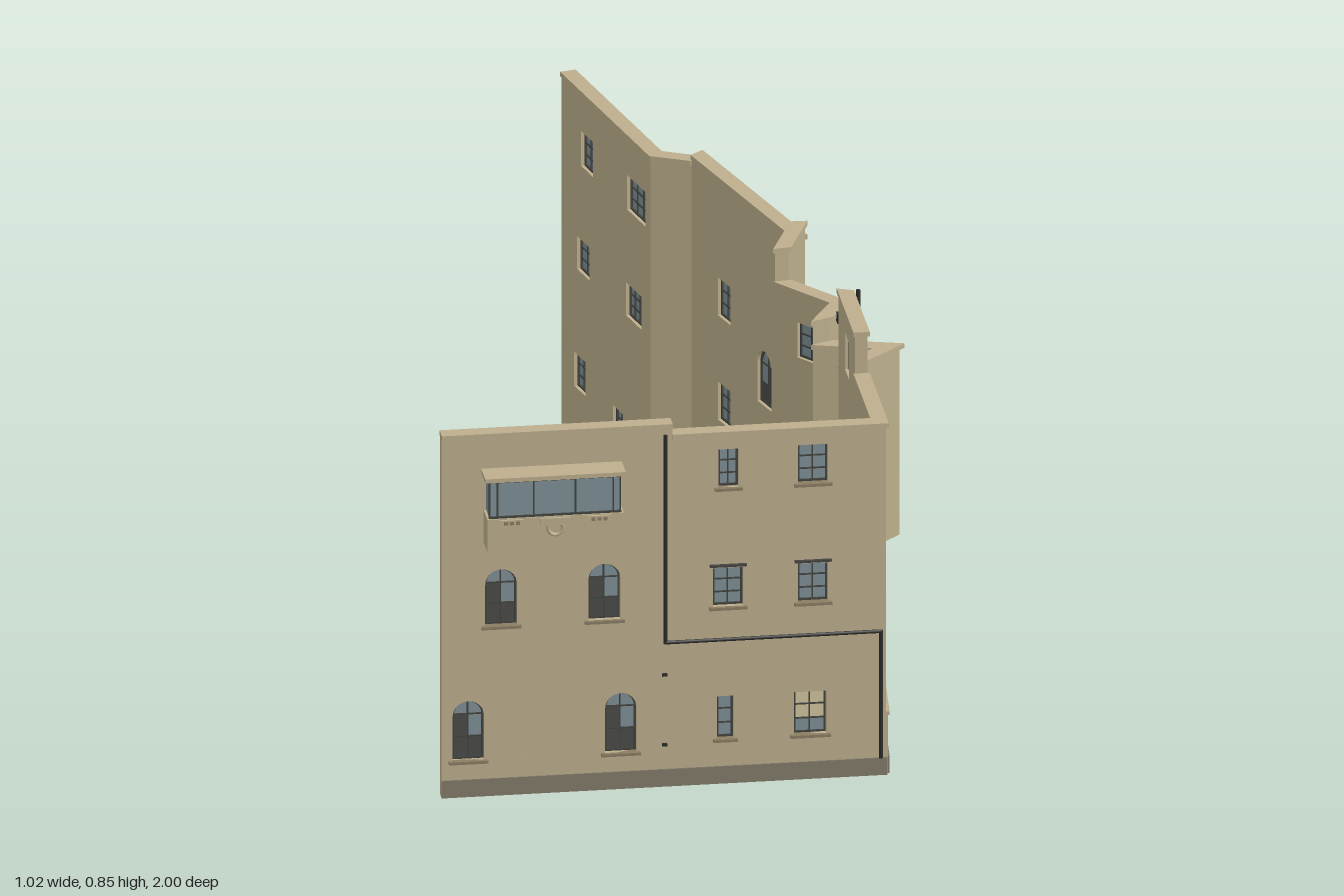
import * as THREE from 'three';

const mat = (name, color, side = THREE.FrontSide) => {
  const m = new THREE.MeshStandardMaterial({ color, side });
  m.name = name;
  return m;
};

export function createModel() {
  const wallMat = mat('stone', 0xbcae8c), plinthMat = mat('plinth', 0x807a68), sillMat = mat('sill', 0x8a7d62);
  const glassMat = mat('glass', 0x7e9096, THREE.DoubleSide), frameMat = mat('frame', 0x42433f);
  const darkMat = mat('darkPane', 0x4a4b47), doorMat = mat('door', 0x4a4740), ironMat = mat('iron', 0x2b2b2a);
  const creamMat = mat('blind', 0xcfc29c, THREE.DoubleSide);
  const T = 0.025;
  const model = new THREE.Group();
  model.name = 'terraceFacade';

  const add = (parent, name, geo, material) => {
    const m = new THREE.Mesh(geo, material);
    m.name = name;
    parent.add(m);
    return m;
  };
  // Box given by its two extreme corners
  const box = (parent, name, material, x0, x1, y0, y1, z0, z1) =>
    add(parent, name, new THREE.BoxGeometry(x1 - x0, y1 - y0, z1 - z0), material)
      .position.set((x0 + x1) / 2, (y0 + y1) / 2, (z0 + z1) / 2);
  // Round pipe between two points
  const pipe = (name, a, b, r = 0.0045) => {
    const p = new THREE.Vector3(...a), d = new THREE.Vector3(...b).sub(p);
    const m = add(model, name, new THREE.CylinderGeometry(r, r, d.length() + r, 8), ironMat);
    m.position.copy(p).addScaledVector(d, 0.5);
    m.quaternion.setFromUnitVectors(new THREE.Vector3(0, 1, 0), d.normalize());
  };
  const outline = (C, x0, x1, y0, y1, arched) => {
    const s = new C(), r = (x1 - x0) / 2;
    s.moveTo(x0, y0);
    s.lineTo(x1, y0);
    if (arched) {
      s.lineTo(x1, y1 - r);
      s.absarc((x0 + x1) / 2, y1 - r, r, 0, Math.PI, false);
    } else {
      s.lineTo(x1, y1);
      s.lineTo(x0, y1);
    }
    s.lineTo(x0, y0);
    return s;
  };
  // Extruded strip whose ends are mitred by the tangents t0 and t1
  const mitred = (shape, L, z0, z1, t0, t1) => {
    const g = new THREE.ExtrudeGeometry(shape, { depth: z1 - z0, bevelEnabled: false, curveSegments: 12 });
    g.translate(0, 0, z0);
    const p = g.attributes.position;
    for (let i = 0; i < p.count; i++) {
      const x = p.getX(i), z = p.getZ(i);
      if (x < 1e-5) p.setX(i, x - z * t0);
      else if (x > L - 1e-5) p.setX(i, x + z * t1);
    }
    g.computeVertexNormals();
    return g;
  };

  // Window: glass, frame, glazing bars and sill
  const addWindow = (parent, x0, x1, y0, y1, kind) => {
    const g = new THREE.Group(), arched = kind === 'arch', f = 0.004, zg = -0.014;
    g.name = arched ? 'archedWindow' : kind === 'grille' ? 'grilleWindow' : 'window';
    parent.add(g);
    add(g, 'glass', new THREE.ShapeGeometry(outline(THREE.Shape, x0, x1, y0, y1, arched)),
      kind === 'blind' ? creamMat : glassMat).position.z = zg;
    const rim = outline(THREE.Shape, x0, x1, y0, y1, arched);
    rim.holes.push(outline(THREE.Path, x0 + f, x1 - f, y0 + f, y1 - f, arched));
    add(g, 'frame', new THREE.ExtrudeGeometry(rim, { depth: 0.008, bevelEnabled: false }), frameMat).position.z = zg - 0.004;
    const xm = (x0 + x1) / 2, w = 0.0014, top = arched ? y1 - (x1 - x0) / 2 : y1;
    const cols = kind === 'grille' ? 5 : kind === 'wide' ? 3 : x1 - x0 < 0.036 ? 1 : 2;
    const rows = arched ? 2 : kind === 'grille' ? 4 : 3;
    for (let i = 1; i < cols; i++) {
      const x = x0 + (x1 - x0) * i / cols;
      box(g, 'glazingBar', frameMat, x - w, x + w, y0, y1, zg - 0.003, zg + 0.003);
    }
    for (let i = 1; i < rows + (arched ? 1 : 0); i++) {
      const y = y0 + (top - y0) * i / rows;
      box(g, 'glazingBar', frameMat, x0, x1, y - w, y + w, zg - 0.003, zg + 0.003);
    }
    if (arched) {
      const ym = (y0 + top) / 2;
      box(g, 'darkPane', darkMat, x0, x1, y0, ym, zg - 0.002, zg + 0.002);
      box(g, 'darkPane', darkMat, x0, xm, ym, top, zg - 0.002, zg + 0.002);
    }
    if (kind === 'blind') box(g, 'lowerPane', glassMat, x0, x1, y0, y0 + (y1 - y0) * 0.33, zg - 0.002, zg + 0.002);
    if (kind === 'lintel') box(g, 'lintel', frameMat, x0 - 0.007, x1 + 0.007, y1 + 0.004, y1 + 0.008, 0, 0.008);
    box(g, 'sill', sillMat, x0 - 0.008, x1 + 0.008, y0 - 0.006, y0, -0.01, 0.008);
  };

  // Outer plan line (x, z); each wall runs from its point to the next
  const points = [[-0.51, 0.94], [-0.045, 0.94], [0.385, 0.94], [0.385, 0.675], [0.385, 0.45], [0.497, 0.345],
    [0.362, 0.308], [0.405, 0.228], [0.308, 0.1], [0.36, -0.035], [0.217, -0.505], [0.14, -0.542], [0.03, -0.996]];
  const count = points.length - 1;
  const heading = points.slice(1).map(([x, z], i) => Math.atan2(points[i][1] - z, x - points[i][0]));
  const tangent = i => (i <= 0 || i >= count ? 0 : Math.tan((heading[i] - heading[i - 1]) / 2));

  // Equal openings, one at each centre (along the wall's main axis) on each sill height
  const grid = (centres, width, sills, height, kind) =>
    centres.flatMap(c => sills.map(s => ({ c, width, s, height, kind })));

  let index = 0;
  const wall = (name, y0, y1, ...openings) => {
    const i = index++, p = points[i], q = points[i + 1], L = Math.hypot(q[0] - p[0], q[1] - p[1]);
    const t0 = tangent(i), t1 = tangent(i + 1), k = i < 2 ? 0 : 1;
    const g = new THREE.Group();
    g.name = name;
    g.position.set(p[0], 0, p[1]);
    g.rotation.y = heading[i];
    model.add(g);
    const face = outline(THREE.Shape, 0, L, y0, y1 - 0.01);
    for (const { c, width, s, height, kind } of openings.flat()) {
      const scale = L / Math.abs(q[k] - p[k]), mid = Math.abs(c - p[k]) * scale, half = width * scale / 2;
      if (kind === 'door') {
        box(g, 'door', doorMat, mid - half, mid + half, s, s + height, -T - 0.001, 0.006);
        continue;
      }
      face.holes.push(outline(THREE.Path, mid - half, mid + half, s, s + height, kind === 'arch'));
      if (kind !== 'open') addWindow(g, mid - half, mid + half, s, s + height, kind);
    }
    add(g, 'wall', mitred(face, L, -T, 0, t0, t1), wallMat);
    add(g, 'coping', mitred(outline(THREE.Shape, 0, L, y1 - 0.01, y1), L, -T - 0.003, 0.005, t0, t1), wallMat);
    if (y0 === 0) add(g, 'plinth', mitred(outline(THREE.Shape, 0, L, 0, 0.037), L, 0, 0.003, t0, t1), plinthMat);
  };

  wall('frontWallHigh', 0, 0.78, grid([-0.39, -0.182], 0.064, [0.365], 0.12, 'arch'),
    grid([-0.456, -0.149], 0.063, [0.078], 0.127, 'arch'), grid([-0.29], 0.25, [0.615], 0.08, 'open'));
  wall('frontWallLow', 0, 0.757, grid([0.068], 0.04, [0.636], 0.082), grid([0.238], 0.06, [0.636], 0.082),
    grid([0.067, 0.238], 0.06, [0.38], 0.083, 'lintel'), grid([0.0615], 0.033, [0.096], 0.091),
    grid([0.2325], 0.065, [0.096], 0.091, 'blind'));
  wall('sideWallLow', 0, 0.757, grid([0.79], 0.06, [0.35, 0.597], 0.077));
  wall('sideWallHigh', 0, 0.845, grid([0.5645], 0.059, [0.24, 0.467, 0.71], 0.08));
  wall('projectingWallFront', 0.27, 0.68);
  wall('projectingWallBack', 0.27, 0.68);
  wall('cornerWall', 0.27, 0.73);
  wall('recessWall', 0.27, 0.73, grid([0.1645], 0.05, [0.585], 0.075), grid([0.149], 0.045, [0.34], 0.105, 'arch'));
  wall('upperWall', 0.27, 0.8);
  wall('rearWall', 0, 0.77, grid([-0.166], 0.064, [0.355], 0.117, 'arch'), grid([-0.348], 0.057, [0.246, 0.47], 0.081),
    grid([-0.178], 0.06, [0.08], 0.07, 'grille'), grid([-0.449], 0.032, [0.092], 0.053));
  wall('rearReturn', 0, 0.757);
  wall('endWall', 0, 0.757, grid([-0.604], 0.096, [0.594], 0.074, 'wide'), grid([-0.618], 0.08, [0.364], 0.071, 'wide'),
    grid([-0.8615], 0.063, [0.594], 0.075), grid([-0.882], 0.064, [0.364], 0.071),
    grid([-0.7], 0.053, [0.07], 0.074), grid([-0.9], 0.06, [0.107], 0.073), grid([-0.576], 0.057, [0], 0.15, 'door'));

  // Bay window with glazed front and sides
  const bay = new THREE.Group();
  bay.name = 'bayWindow';
  model.add(bay);
  box(bay, 'bayBase', wallMat, -0.425, -0.15, 0.545, 0.615, 0.94, 0.993);
  box(bay, 'bayRoof', wallMat, -0.43, -0.147, 0.695, 0.704, 0.94, 0.998);
  box(bay, 'frontGlass', glassMat, -0.418, -0.158, 0.615, 0.695, 0.983, 0.986);
  for (const x of [-0.42, -0.158]) box(bay, 'sideGlass', glassMat, x, x + 0.003, 0.615, 0.695, 0.94, 0.985);
  for (const x of [-0.42, -0.404, -0.331, -0.247, -0.171, -0.157])
    box(bay, 'mullion', frameMat, x - 0.0015, x + 0.0015, 0.615, 0.695, 0.981, 0.989);
  for (const y of [0.615, 0.691]) box(bay, 'bayRail', frameMat, -0.421, -0.155, y, y + 0.004, 0.98, 0.99);
  // Carved corbels and central scroll
  for (const x of [-0.376, -0.2]) {
    box(bay, 'corbel', wallMat, x - 0.023, x + 0.023, 0.6, 0.613, 0.99, 0.998);
    for (const s of [-0.012, 0, 0.012])
      box(bay, 'corbelRecess', sillMat, x + s - 0.004, x + s + 0.004, 0.603, 0.61, 0.997, 0.999);
  }
  box(bay, 'carving', wallMat, -0.318, -0.258, 0.598, 0.613, 0.99, 0.998);
  add(bay, 'scroll', new THREE.TorusGeometry(0.015, 0.004, 6, 16), wallMat).position.set(-0.288, 0.591, 0.994);

  // Rainwater pipes and vents
  const run = [[-0.06, 0.755, 0.946], [-0.06, 0.311, 0.946], [0.374, 0.311, 0.946], [0.374, 0.04, 0.946]];
  for (let i = 0; i < 3; i++) pipe('drainPipe', run[i], run[i + 1], 0.004);
  pipe('stackPipe', [0.398, 0.15, 0.452], [0.398, 0.843, 0.452]);
  pipe('recessPipe', [0.385, 0.28, 0.293], [0.385, 0.72, 0.293], 0.004);
  box(model, 'rainHopper', ironMat, 0.378, 0.402, 0.712, 0.73, 0.28, 0.3);
  for (const y of [0.09, 0.24]) box(model, 'vent', ironMat, -0.066, -0.056, y - 0.003, y + 0.003, 0.94, 0.944);

  // Boundary wall with gate and railings
  const yard = new THREE.Group(), a = [0.39, 0.935], b = [0.478, -0.06];
  const len = Math.hypot(b[0] - a[0], b[1] - a[1]);
  yard.name = 'boundaryWall';
  yard.position.set(a[0], 0, a[1]);
  yard.rotation.y = Math.atan2(a[1] - b[1], b[0] - a[0]);
  model.add(yard);
  box(yard, 'yardWall', wallMat, 0, len, 0, 0.125, -0.02, 0);
  box(yard, 'yardCoping', wallMat, 0, len, 0.125, 0.133, -0.023, 0.003);
  box(yard, 'yardPlinth', plinthMat, 0, len, 0, 0.037, 0, 0.003);
  box(yard, 'gate', doorMat, 0.265, 0.332, 0, 0.124, -0.021, 0.005);
  box(yard, 'endPier', wallMat, len - 0.012, len, 0, 0.176, -0.023, 0.003);
  for (const y of [0.14, 0.158]) box(yard, 'rail', ironMat, 0, len, y, y + 0.003, -0.012, -0.008);
  for (let i = 0; i < 30; i++) {
    const x = 0.012 + i * (len - 0.03) / 29;
    box(yard, 'railPost', ironMat, x - 0.0015, x + 0.0015, 0.133, i % 2 ? 0.164 : 0.176, -0.012, -0.008);
  }
  return model;
}
